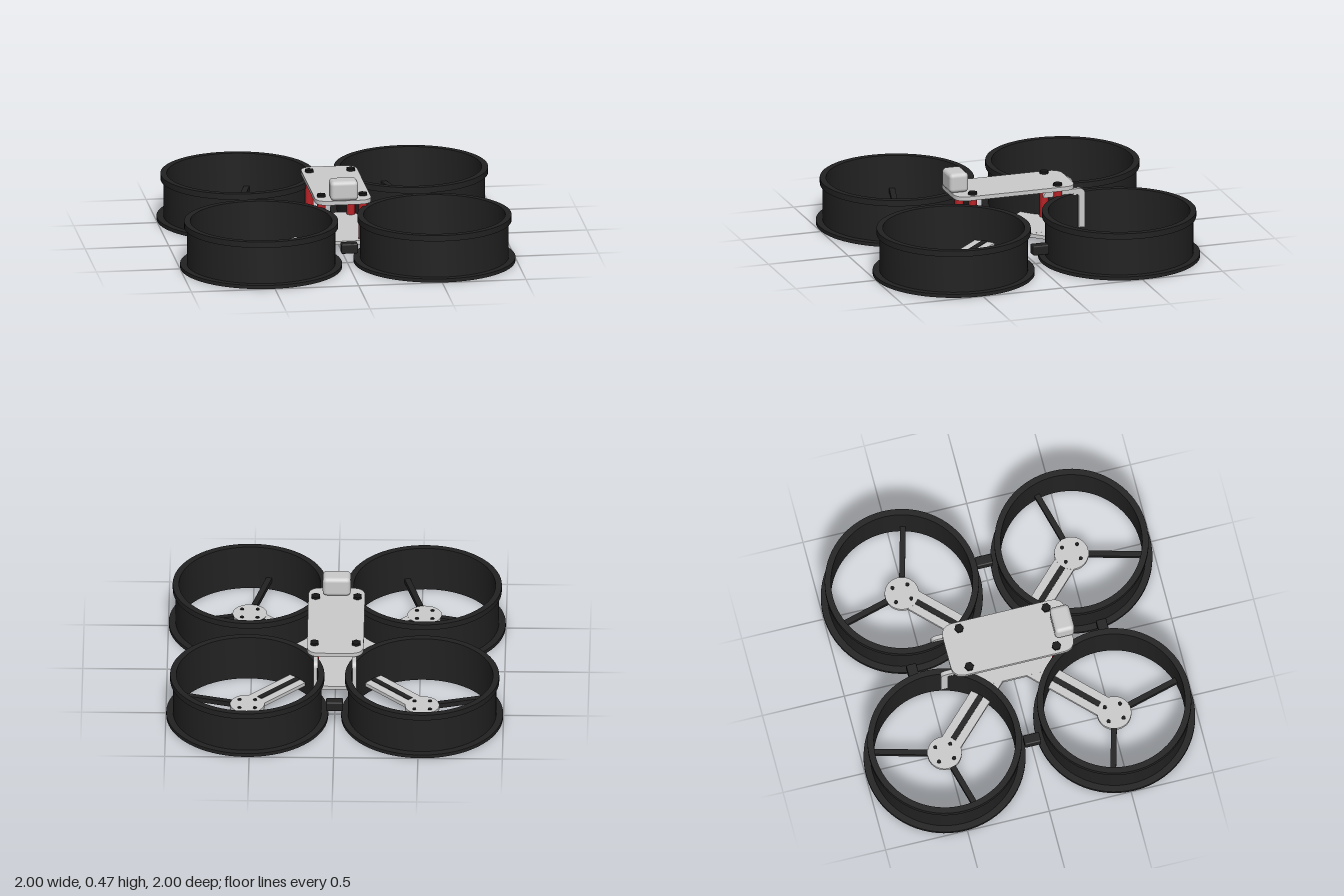
import * as THREE from 'three';
import { toCreasedNormals } from 'three/addons/utils/BufferGeometryUtils.js';
import { RoundedBoxGeometry } from 'three/addons/geometries/RoundedBoxGeometry.js';

const ROTOR = 0.518;      // rotor centre offset in x and z
const PLATE_Y = 0.066;    // middle height of the base plate

function mat(name, color) {
  const m = new THREE.MeshStandardMaterial({ color });
  m.name = name;
  return m;
}

function roundedRect(w, h, r) {
  const s = new THREE.Shape();
  const x = w / 2, y = h / 2;
  s.moveTo(-x + r, -y);
  s.lineTo(x - r, -y); s.quadraticCurveTo(x, -y, x, -y + r);
  s.lineTo(x, y - r); s.quadraticCurveTo(x, y, x - r, y);
  s.lineTo(-x + r, y); s.quadraticCurveTo(-x, y, -x, y - r);
  s.lineTo(-x, -y + r); s.quadraticCurveTo(-x, -y, -x + r, -y);
  return s;
}

// Flat plate lying in xz, with its underside at y = 0
function plate(shape, thickness) {
  const g = new THREE.ExtrudeGeometry(shape, { depth: thickness, bevelEnabled: false, curveSegments: 8 });
  return g.rotateX(-Math.PI / 2);
}

export function createModel() {
  const black = mat('duct black', 0x222222);
  const screwBlack = mat('screw black', 0x161616);
  const grey = mat('light grey', 0xcccccc);
  const red = mat('standoff red', 0xb82226);

  const model = new THREE.Group();
  model.name = 'ductedQuadcopter';
  const add = (parent, name, geo, material, x = 0, y = 0, z = 0) => {
    const m = new THREE.Mesh(geo, material);
    m.name = name;
    m.position.set(x, y, z);
    parent.add(m);
    return m;
  };

  // Shared geometry for the four rotor units
  const profile = [
    [0.42, 0], [0.48, 0], [0.48, 0.022], [0.44, 0.022], [0.44, 0.247],
    [0.457, 0.247], [0.457, 0.283], [0.42, 0.283], [0.42, 0],
  ].map(([x, y]) => new THREE.Vector2(x, y));
  const ductGeo = toCreasedNormals(new THREE.LatheGeometry(profile, 72), 0.6);
  const strutGeo = new THREE.BoxGeometry(0.33, 0.03, 0.034);
  strutGeo.translate(0.265, 0, 0);
  const armGeo = new THREE.BoxGeometry(0.6, 0.022, 0.13);
  armGeo.translate(0.3, 0, 0);
  const discGeo = new THREE.CylinderGeometry(0.102, 0.102, 0.024, 40);
  const motorScrewGeo = new THREE.CylinderGeometry(0.012, 0.012, 0.032, 12);

  // Each unit has local +x pointing at the middle of the model
  for (const sx of [-1, 1]) for (const sz of [-1, 1]) {
    const unit = new THREE.Group();
    unit.name = (sz > 0 ? 'front' : 'back') + (sx > 0 ? 'Left' : 'Right') + 'RotorUnit';
    unit.position.set(sx * ROTOR, 0, sz * ROTOR);
    unit.rotation.y = Math.atan2(sz, -sx);
    add(unit, 'duct', ductGeo, black);
    add(unit, 'arm', armGeo, grey, 0, PLATE_Y, 0);
    add(unit, 'motorMount', discGeo, grey, 0, PLATE_Y, 0);
    for (let i = 0; i < 3; i++) {
      add(unit, 'strut', strutGeo, black, 0, PLATE_Y, 0).rotation.y = i * Math.PI * 2 / 3;
    }
    for (let i = 0; i < 4; i++) {
      const a = i * Math.PI / 2;
      add(unit, 'motorScrew', motorScrewGeo, screwBlack, 0.065 * Math.cos(a), PLATE_Y, 0.065 * Math.sin(a));
    }
    model.add(unit);
  }

  // Bumpers between neighbouring ducts
  const bumperGeo = new RoundedBoxGeometry(0.1, 0.06, 0.062, 2, 0.008);
  for (const s of [-1, 1]) {
    add(model, 'bumper', bumperGeo, black, 0, 0.115, s * 0.58);
    add(model, 'bumper', bumperGeo, black, s * 0.58, 0.115, 0).rotation.y = Math.PI / 2;
  }

  // Body plates
  add(model, 'basePlate', plate(roundedRect(0.33, 0.62, 0.06), 0.023), grey, 0, 0.0545, 0);
  add(model, 'topPlate', plate(roundedRect(0.335, 0.75, 0.08), 0.025), grey, 0, 0.32, 0);

  // Standoffs with hexagonal screws on top and below
  const standoffGeo = new THREE.CylinderGeometry(0.026, 0.026, 0.246, 20);
  const screwGeo = new THREE.CylinderGeometry(0.028, 0.028, 0.016, 6);
  for (const x of [-0.124, 0.124]) for (const z of [-0.268, 0.264]) {
    add(model, 'standoff', standoffGeo, red, x, 0.199, z);
    add(model, 'plateScrew', screwGeo, screwBlack, x, 0.352, z);
  }

  // Rear side brackets: a bar running back, then a leg down to the base
  const hook = new THREE.Shape();
  hook.moveTo(0.18, 0.275);
  hook.lineTo(0.39, 0.275);
  hook.quadraticCurveTo(0.4, 0.275, 0.4, 0.262);
  hook.lineTo(0.4, 0.07);
  hook.lineTo(0.44, 0.07);
  hook.lineTo(0.44, 0.28);
  hook.quadraticCurveTo(0.435, 0.312, 0.4, 0.312);
  hook.lineTo(0.21, 0.312);
  hook.quadraticCurveTo(0.185, 0.308, 0.18, 0.285);
  const hookGeo = new THREE.ExtrudeGeometry(hook, { depth: 0.026, bevelEnabled: false, curveSegments: 6 });
  hookGeo.translate(0, 0, -0.013).rotateY(Math.PI / 2);
  for (const s of [-1, 1]) add(model, 'rearBracket', hookGeo, grey, s * 0.114, 0, 0);

  // Camera block on the nose
  add(model, 'cameraBlock', new RoundedBoxGeometry(0.166, 0.12, 0.118, 4, 0.025), grey, 0, 0.405, 0.33);

  return model;
}
